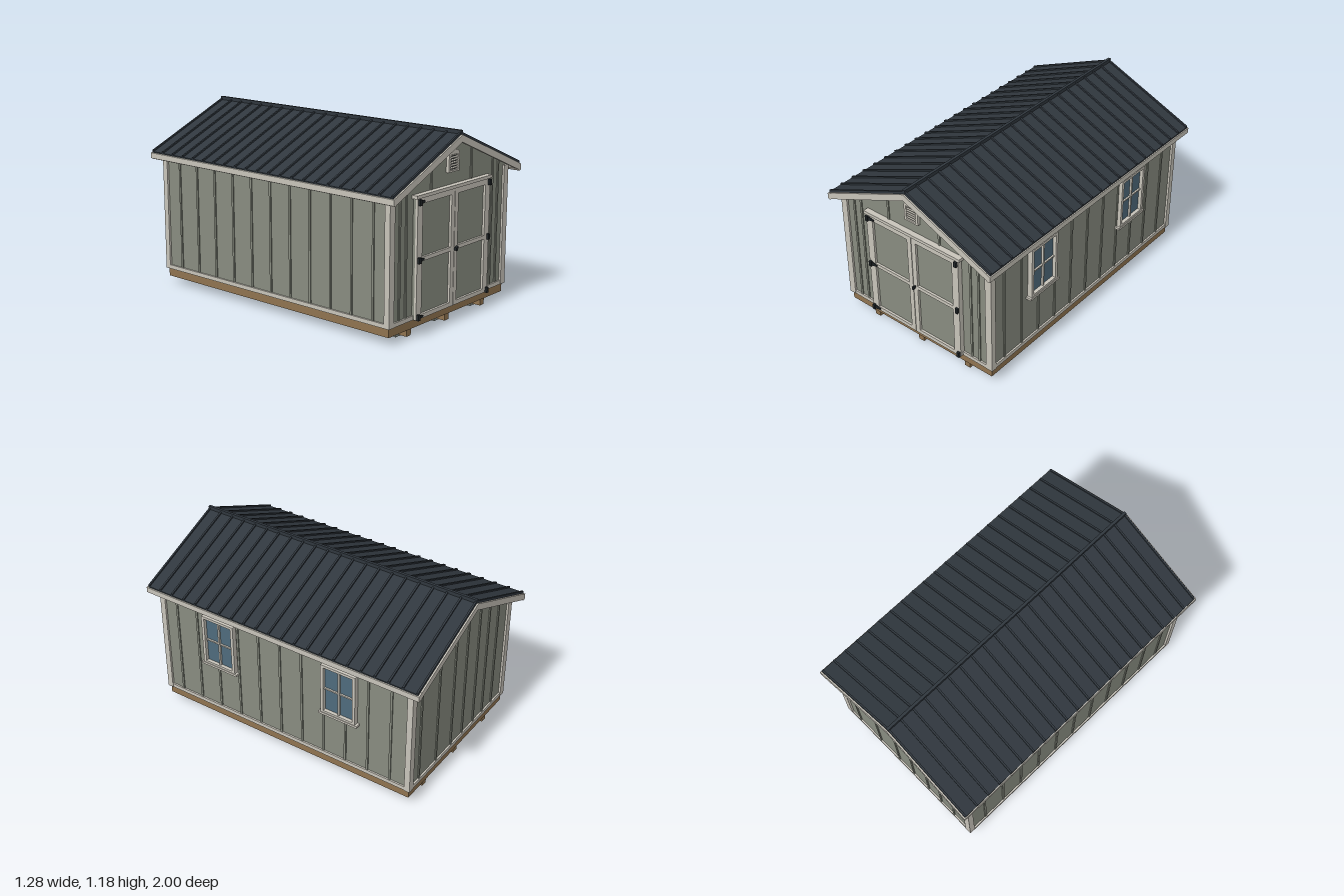
import * as THREE from 'three';

const mat = (name, color) => Object.assign(new THREE.MeshStandardMaterial({ color }), { name });

export function createModel() {
  const model = new THREE.Group();
  model.name = 'gardenShed';
  const siding = mat('sageSiding', 0x888c80);
  const trim = mat('creamTrim', 0xc8c4ba);
  const metal = mat('charcoalRoof', 0x30373e);
  const wood = mat('timber', 0x8f7350);
  const concrete = mat('concrete', 0x848a82);
  const glass = mat('windowGlass', 0x4f6b7c);
  const iron = mat('blackIron', 0x1f2427);

  const group = (name, parent = model) => {
    const g = new THREE.Group();
    g.name = name;
    parent.add(g);
    return g;
  };
  const add = (name, geo, material, parent = model) => {
    const m = new THREE.Mesh(geo, material);
    m.name = name;
    parent.add(m);
    return m;
  };
  // Box given by its limits on each axis
  const box = (name, material, x0, x1, y0, y1, z0, z1, parent) => {
    const m = add(name, new THREE.BoxGeometry(x1 - x0, y1 - y0, z1 - z0), material, parent);
    m.position.set((x0 + x1) / 2, (y0 + y1) / 2, (z0 + z1) / 2);
    return m;
  };
  // Outline in x and y extruded from z0 to z1
  const slab = (name, material, pts, z0, z1, parent, hole) => {
    const shape = new THREE.Shape(pts.map(p => new THREE.Vector2(...p)));
    if (hole) shape.holes.push(new THREE.Path(hole.map(p => new THREE.Vector2(...p))));
    const geo = new THREE.ExtrudeGeometry(shape, { depth: z1 - z0, bevelEnabled: false });
    return add(name, geo.translate(0, 0, z0), material, parent);
  };

  // Foundation: pads, skids and floor frame
  const foundation = group('foundation');
  for (const x of [-0.377, 0, 0.377]) {
    box('skid', wood, x - 0.021, x + 0.021, 0.007, 0.052, -0.915, 0.915, foundation);
    for (const z of [-0.798, 0, 0.798])
      box('concretePad', concrete, x - 0.053, x + 0.053, 0, 0.03, z - 0.063, z + 0.063, foundation);
  }
  box('floorFrame', wood, -0.578, 0.578, 0.051, 0.106, -0.925, 0.925, foundation);

  // Walls with gables
  const slope = 0.425;
  const roofY = (top, x) => top - slope * Math.abs(x);
  const W = 0.578, D = 0.925;
  slab('walls', siding, [[-W, 0.105], [W, 0.105], [W, roofY(1.135, W)], [0, 1.135], [-W, roofY(1.135, W)]], -D, D);

  // Battens
  const battens = group('battens');
  const bw = 0.007, proud = 0.007;
  for (const x of [-0.43, -0.31, -0.19, -0.05, 0.09, 0.27, 0.47])
    box('backBatten', siding, x - bw, x + bw, 0.13, roofY(1.125, x), -D - proud, -D, battens);
  for (const x of [-0.49, -0.43, 0.43, 0.49])
    box('frontBatten', siding, x - bw, x + bw, 0.13, roofY(1.125, x), D, D + proud, battens);
  for (const x of [-0.2, 0.2])
    box('gableBatten', siding, x - bw, x + bw, 0.85, roofY(1.125, x), D, D + proud, battens);
  for (const s of [-1, 1])
    for (let i = 0; i < 11; i++) {
      const z = -0.79 + i * 0.16;
      const x0 = s > 0 ? W : -W - proud;
      box('sideBatten', siding, x0, x0 + proud, 0.13, 0.875, z - bw, z + bw, battens);
    }

  // Corner boards and skirting
  const boards = group('wallTrim');
  for (const s of [-1, 1]) {
    const xa = s > 0 ? W : -W - 0.014;
    box('sideSkirting', trim, xa, xa + 0.011, 0.106, 0.132, -D, D, boards);
    for (const t of [-1, 1]) {
      const za = t > 0 ? 0.9 : -0.938;
      box('sideCornerBoard', trim, xa, xa + 0.014, 0.106, 0.876, za, za + 0.038, boards);
      const zb = t > 0 ? D : -D - 0.013;
      const xb = s > 0 ? 0.546 : -W;
      box('endCornerBoard', trim, xb, xb + W - 0.546, 0.106, 0.876, zb, zb + 0.013, boards);
    }
    box('frontSkirting', trim, s > 0 ? 0.36 : -W, s > 0 ? W : -0.36, 0.106, 0.132, D, D + 0.011, boards);
  }
  box('backSkirting', trim, -W, W, 0.106, 0.132, -D - 0.011, -D, boards);

  // Roof: deck, eaves, rakes, metal sheets and standing seams
  const roof = group('roof');
  const band = (name, material, top, bottom, xEnd, z0, z1, s) => slab(name, material,
    [[0, bottom], [s * xEnd, roofY(bottom, xEnd)], [s * xEnd, roofY(top, xEnd)], [0, top]], z0, z1, roof);
  for (const s of [-1, 1]) {
    band('roofDeck', trim, 1.15, 1.13, 0.625, -0.985, 0.985, s);
    band('frontRake', trim, 1.152, 1.108, 0.61, 0.982, 1, s);
    band('backRake', trim, 1.152, 1.108, 0.61, -1, -0.982, s);
    slab('eaveFascia', trim, [[0.605, 0.856], [0.622, 0.838], [0.64, 0.845], [0.64, 0.88], [0.605, 0.893]]
      .map(([x, y]) => [s * x, y]), -1, 1, roof);
    band('metalSheet', metal, 1.159, 1.151, 0.634, -0.99, 0.99, s);
    for (let i = 0; i <= 21; i++) {
      const z = Math.min(-0.984 + i * 0.0938, 0.984);
      band('standingSeam', metal, 1.169, 1.157, 0.634, z - 0.006, z + 0.006, s);
    }
  }
  box('ridgeCap', metal, -0.009, 0.009, 1.152, 1.178, -0.992, 0.992, roof);

  // Double door
  const doors = group('doubleDoor');
  const zd = 0.957;
  box('doorHeader', trim, -0.378, 0.378, 0.829, 0.849, D, 0.962, doors);
  for (const s of [-1, 1]) {
    const leaf = group(s > 0 ? 'leftDoor' : 'rightDoor', doors);
    const part = (name, m, a, b, y0, y1, z1) =>
      box(name, m, Math.min(s * a, s * b), Math.max(s * a, s * b), y0, y1, D - 0.005, z1, leaf);
    part('doorPanel', siding, 0.002, 0.364, 0.108, 0.828, 0.942);
    part('outerStile', trim, 0.315, 0.364, 0.107, 0.828, zd);
    part('innerStile', trim, 0.002, 0.034, 0.107, 0.828, zd);
    for (const [y0, y1] of [[0.107, 0.133], [0.453, 0.477], [0.795, 0.828]])
      part('rail', trim, 0.034, 0.315, y0, y1, zd);
    // Hinges
    for (const y of [0.122, 0.465, 0.807]) {
      part('hingePlate', iron, 0.342, 0.36, y - 0.018, y + 0.018, 0.972);
      slab('hingeStrap', iron, [[0.345, y - 0.014], [0.345, y + 0.014], [0.325, y + 0.01], [0.3, y + 0.004], [0.3, y - 0.004], [0.325, y - 0.01]]
        .map(([x, v]) => [s * x, v]), zd - 0.002, s > 0 ? zd - 0.0005 : zd + 0.006, leaf);
    }
  }
  slab('doorHandle', iron, [[0.002, 0.45], [0.011, 0.447], [0.02, 0.465], [0.02, 0.476], [0.002, 0.468]], zd - 0.002, 0.975, doors);

  // Arched gable vent with louvres
  const vent = group('gableVent');
  const arch = [[-0.053, 0.926], [0.053, 0.926]];
  for (let i = 0; i <= 10; i++) {
    const a = (i / 10) * Math.PI;
    arch.push([0.053 * Math.cos(a), 1.03 + 0.031 * Math.sin(a)]);
  }
  slab('ventFrame', trim, arch, D, 0.945, vent, [[-0.037, 0.937], [-0.037, 1.03], [0.037, 1.03], [0.037, 0.937]]);
  box('ventOpening', metal, -0.038, 0.038, 0.936, 1.031, D, 0.93, vent);
  for (let i = 0; i < 6; i++) {
    const slat = box('louvre', trim, -0.037, 0.037, 0.945 + i * 0.0155, 0.951 + i * 0.0155, 0.929, 0.943, vent);
    slat.rotation.x = 0.2;
  }

  // Windows on the left wall
  for (const zc of [0.467, -0.433]) {
    const win = group('window');
    const part = (name, m, z0, z1, y0, y1, x1) => box(name, m, W - 0.002, x1, y0, y1, zc + z0, zc + z1, win);
    part('glassPane', glass, -0.11, 0.11, 0.46, 0.795, 0.587);
    for (const s of [-1, 1])
      part('jamb', trim, s > 0 ? 0.103 : -0.123, s > 0 ? 0.123 : -0.103, 0.455, 0.803, 0.61);
    part('head', trim, -0.103, 0.103, 0.786, 0.803, 0.61);
    part('bottomRail', trim, -0.103, 0.103, 0.455, 0.47, 0.61);
    part('sill', trim, -0.138, 0.138, 0.441, 0.456, 0.614);
    part('mullion', trim, -0.006, 0.006, 0.47, 0.786, 0.6);
    part('crossBar', trim, -0.103, 0.103, 0.623, 0.632, 0.598);
  }
  return model;
}
